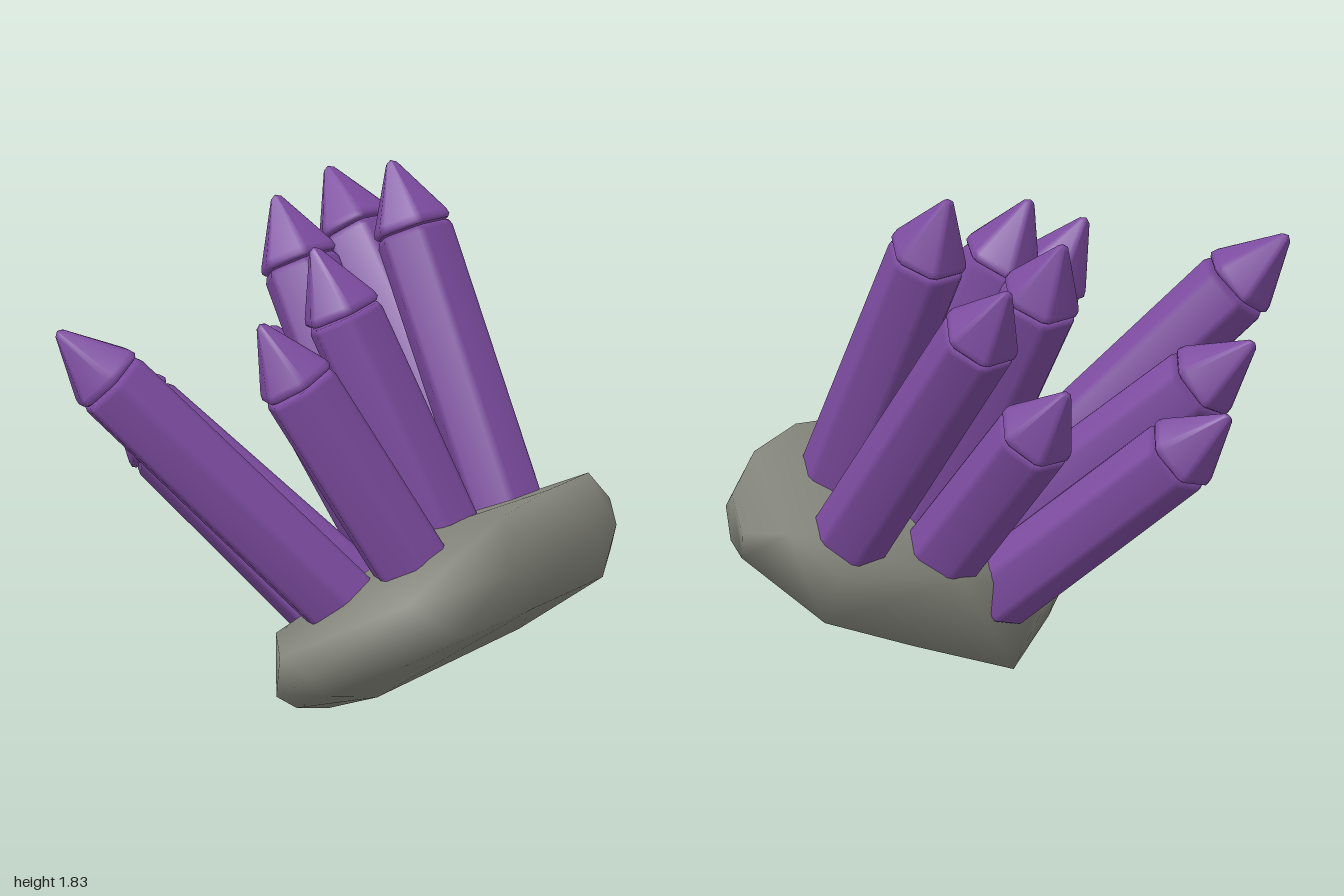
import * as THREE from 'three';
import { mergeVertices } from 'three/addons/utils/BufferGeometryUtils.js';
import { ConvexGeometry } from 'three/addons/geometries/ConvexGeometry.js';

const crystalPurple = new THREE.MeshStandardMaterial({ color: 0x7c4b9f });
crystalPurple.name = 'crystal purple';
const rockGrey = new THREE.MeshStandardMaterial({ color: 0x83847a });
rockGrey.name = 'rock grey';

const R = 0.138;   // crystal radius
const CAP = 0.255; // length of the pointed cap
const SINK = 0.14; // depth of each shaft inside the rock

// Weld the corners and give the surface soft normals
function soften(geometry) {
  geometry.deleteAttribute('normal');
  if (geometry.attributes.uv) geometry.deleteAttribute('uv');
  const welded = mergeVertices(geometry, 1e-4);
  welded.computeVertexNormals();
  return welded;
}

// Six-sided prism with narrow bevelled corners, from a radius/height profile
function hexPrism(profile) {
  const geometry = new THREE.LatheGeometry(profile.map(([r, y]) => new THREE.Vector2(r, y)), 12);
  const p = geometry.attributes.position;
  for (let i = 0; i < p.count; i++) {
    const r = Math.hypot(p.getX(i), p.getZ(i));
    const step = Math.round(Math.atan2(p.getX(i), p.getZ(i)) / (Math.PI / 6) + 12) % 12;
    const angle = Math.floor(step / 2) * Math.PI / 3 + (step % 2 ? 0.1 : -0.1);
    p.setXYZ(i, r * Math.sin(angle), p.getY(i), r * Math.cos(angle));
  }
  return soften(geometry);
}

// Crystal from a root point on the rock to its tip, sunk into the rock
function makeCrystal(root, tip) {
  const end = new THREE.Vector3(...tip);
  const axis = end.clone().sub(new THREE.Vector3(...root));
  const shaftLength = axis.length() + SINK - CAP;
  axis.normalize();

  const crystal = new THREE.Group();
  crystal.name = 'crystal';
  const shaft = new THREE.Mesh(hexPrism([
    [0, 0], [R * 0.9, 0], [R, 0.02], [R, shaftLength - 0.025], [R * 0.93, shaftLength - 0.004], [0, shaftLength],
  ]), crystalPurple);
  shaft.name = 'crystalShaft';
  const cap = new THREE.Mesh(hexPrism([
    [0, 0], [R * 0.94, 0.002], [R * 1.01, 0.014], [R * 0.97, 0.035], [0.02, CAP - 0.012], [0, CAP],
  ]), crystalPurple);
  cap.name = 'crystalCap';
  cap.position.y = shaftLength;
  crystal.add(shaft, cap);

  crystal.quaternion.setFromUnitVectors(new THREE.Vector3(0, 1, 0), axis);
  crystal.position.copy(end).addScaledVector(axis, -(shaftLength + CAP));
  return crystal;
}

export function createModel() {
  const model = new THREE.Group();
  model.name = 'crystalCluster';

  // Tilted, lumpy rock
  const top = [
    [-0.3, 0.33, 0.65], [-0.24, 0.3, 0.85], [0.09, 0.55, 0.9], [0.2, 0.66, 0.77],
    [0.5, 0.78, 0.62], [0.7, 0.82, 0.45], [0.9, 0.81, 0.2], [1, 0.69, 0.1],
    [1, 0.6, -0.07], [0.87, 0.63, -0.2], [0.7, 0.49, -0.28], [0.25, 0.42, -0.18],
    [-0.1, 0.27, 0.13], [-0.23, 0.33, 0.3], [0.5, 0.6, 0.71], [0.73, 0.6, 0.57],
    [0.9, 0.65, 0.38], [1, 0.62, 0.2], [0.05, 0.59, 0.65], [0.25, 0.71, 0.5],
    [0.55, 0.72, 0.22], [0.35, 0.57, 0.03], [0.05, 0.48, 0.28],
  ];
  const underside = [
    [-0.3, 0.18, 0.6], [-0.18, 0.085, 0.4], [0.01, 0, 0.09], [0.4, 0.165, -0.1],
    [0.75, 0.32, -0.26], [1, 0.52, 0.12], [1, 0.51, -0.06], [0.92, 0.47, 0.33],
    [0.66, 0.265, 0.18], [0.2, 0.09, 0.23], [0.06, 0.155, 0.59], [0.3, 0.4, 0.79],
    [0.09, 0.33, 0.87], [0.6, 0.44, 0.61], [-0.14, 0.19, 0.68],
  ];
  const hull = new ConvexGeometry([...top, ...underside].map((p) => new THREE.Vector3(...p)));
  const rock = new THREE.Mesh(soften(hull), rockGrey);
  rock.name = 'rockBase';
  model.add(rock);

  // Crystals as root and tip
  const crystals = [
    [[0.61, 0.63, -0.15], [0.24, 1.67, -0.9]],
    [[0.58, 0.8, 0.155], [0.32, 1.83, -0.305]],
    [[0.33, 0.7, 0.39], [-0.07, 1.66, 0.18]],
    [[0.24, 0.66, 0.06], [-0.05, 1.69, -0.465]],
    [[0.28, 0.5, -0.07], [-0.035, 1.195, -0.59]],
    [[0, 0.365, 0.02], [-0.635, 1.035, -0.46]],
    [[0.08, 0.415, 0.25], [-0.78, 1.21, -0.19]],
    [[-0.05, 0.48, 0.505], [-1, 1.44, 0.28]],
    [[0.16, 0.65, 0.61], [-0.335, 1.48, 0.5]],
  ];
  for (const [root, tip] of crystals) model.add(makeCrystal(root, tip));

  return model;
}
